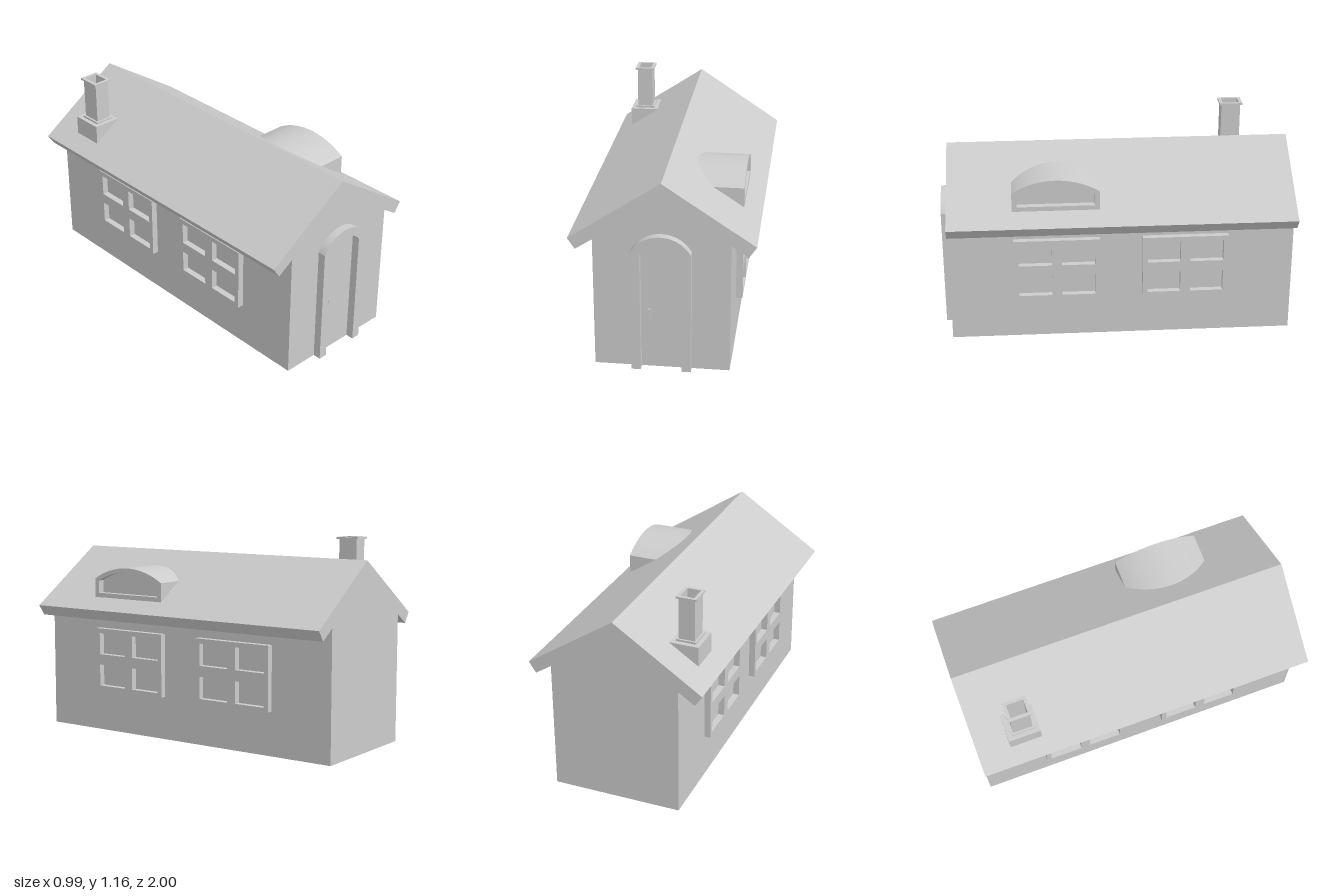
import * as THREE from 'three';
import { toCreasedNormals } from 'three/addons/utils/BufferGeometryUtils.js';

const material = new THREE.MeshStandardMaterial({ color: 0xcccccc });

function add(parent, name, geometry, x = 0, y = 0, z = 0) {
  const mesh = new THREE.Mesh(geometry, material);
  mesh.name = name;
  mesh.position.set(x, y, z);
  parent.add(mesh);
  return mesh;
}

function extrude(shape, depth) {
  const g = new THREE.ExtrudeGeometry(shape, { depth, bevelEnabled: false, curveSegments: 24 });
  return toCreasedNormals(g, 0.4);
}

const polygon = (pts) => new THREE.Shape(pts.map(([x, y]) => new THREE.Vector2(x, y)));

// Rectangle centred on (cx, cy)
function rect(w, h, cx = 0, cy = 0) {
  const x = w / 2, y = h / 2;
  return polygon([[cx - x, cy - y], [cx + x, cy - y], [cx + x, cy + y], [cx - x, cy + y]]);
}

// Straight-sided opening closed by a circular arc of radius r about (0, cy)
function arch(half, bottom, cy, r) {
  const a = Math.acos(half / r);
  const s = new THREE.Shape();
  s.moveTo(-half, bottom);
  s.lineTo(half, bottom);
  s.lineTo(half, cy + r * Math.sin(a));
  s.absarc(0, cy, r, a, Math.PI - a, false);
  s.closePath();
  return s;
}

// Rectangular tube standing on y = 0
function tube(w, d, innerW, innerD, h) {
  const s = rect(w, d);
  s.holes.push(rect(innerW, innerD));
  return extrude(s, h).rotateX(-Math.PI / 2);
}

export function createModel() {
  const house = new THREE.Group();
  house.name = 'house';

  // Walls and overhanging gable roof share one profile
  const body = polygon([
    [-0.365, 0], [0.365, 0], [0.365, 0.735], [0.457, 0.675], [0.497, 0.735],
    [0, 1.065], [-0.497, 0.735], [-0.457, 0.675], [-0.365, 0.735],
  ]);
  add(house, 'wallsAndRoof', extrude(body, 1.955), 0, 0, -1);

  // Door surround, open at the bottom
  const w = 0.16, iw = 0.11, cy = 0.603, r = 0.182, ir = 0.132;
  const a = Math.acos(w / r), ia = Math.acos(iw / ir);
  const surround = new THREE.Shape();
  surround.moveTo(iw, 0);
  surround.lineTo(w, 0);
  surround.lineTo(w, cy + r * Math.sin(a));
  surround.absarc(0, cy, r, a, Math.PI - a, false);
  surround.lineTo(-w, 0);
  surround.lineTo(-iw, 0);
  surround.lineTo(-iw, cy + ir * Math.sin(ia));
  surround.absarc(0, cy, ir, Math.PI - ia, ia, true);
  surround.closePath();
  add(house, 'doorFrame', extrude(surround, 0.055), 0, 0, 0.945);
  add(house, 'doorHandle', new THREE.BoxGeometry(0.01, 0.062, 0.02), -0.066, 0.316, 0.957);

  // Four-pane windows, two on each side wall
  const frame = rect(0.487, 0.366);
  for (const u of [-0.122, 0.122])
    for (const v of [-0.096, 0.092]) frame.holes.push(rect(0.188, 0.126, u, v));
  const windowGeometry = extrude(frame, 0.04).rotateY(Math.PI / 2);
  for (const z of [0.3475, -0.3825]) {
    add(house, 'leftWindow', windowGeometry, 0.361, 0.432, z);
    add(house, 'rightWindow', windowGeometry, -0.401, 0.432, z);
  }

  // Curved dormer with a recessed pane
  const dormer = new THREE.Group();
  dormer.name = 'dormer';
  dormer.position.z = 0.3475;
  house.add(dormer);
  const rim = arch(0.244, 0.8, 0.525, 0.455);
  rim.holes.push(arch(0.216, 0.826, 0.525, 0.431));
  add(dormer, 'dormerFrame', extrude(rim, 0.04).rotateY(Math.PI / 2), 0.361);
  const core = arch(0.244, 0.8, 0.525, 0.455);
  add(dormer, 'dormerBody', extrude(core, 0.281).rotateY(Math.PI / 2), 0.08);

  // Chimney
  const chimney = new THREE.Group();
  chimney.name = 'chimney';
  chimney.position.set(-0.321, 0, -0.72);
  house.add(chimney);
  add(chimney, 'chimneyBase', new THREE.BoxGeometry(0.162, 0.16, 0.186), -0.001, 0.828, -0.002);
  add(chimney, 'chimneyCollar', tube(0.114, 0.134, 0.076, 0.096, 0.012), 0, 0.907, 0);
  add(chimney, 'chimneyShaft', tube(0.09, 0.112, 0.076, 0.096, 0.245), 0, 0.912, 0);
  add(chimney, 'chimneyCap', tube(0.114, 0.134, 0.076, 0.096, 0.011), 0, 1.154, 0);

  return house;
}
